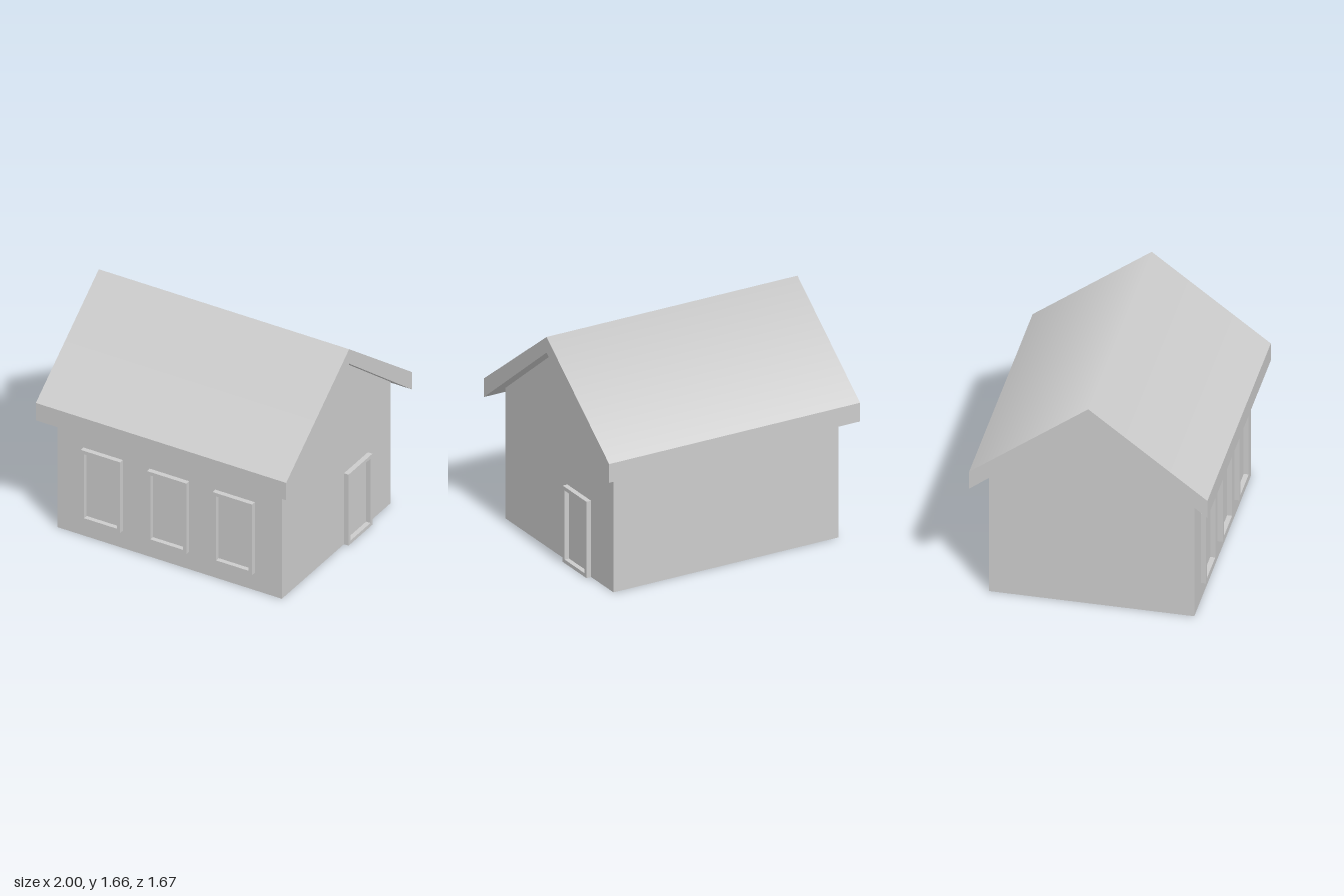
import * as THREE from 'three';

const material = new THREE.MeshStandardMaterial({ color: 0xcccccc });

// Extrudes a (z, y) outline along x, centred on x = 0
function extrudeAlongX(points, length) {
  const shape = new THREE.Shape(points.map(([z, y]) => new THREE.Vector2(z, y)));
  return new THREE.ExtrudeGeometry(shape, { depth: length, bevelEnabled: false })
    .translate(0, 0, -length / 2)
    .rotateY(Math.PI / 2);
}

function addMesh(parent, name, geometry) {
  const mesh = new THREE.Mesh(geometry, material);
  mesh.name = name;
  parent.add(mesh);
  return mesh;
}

// Raised rectangular frame around a flat panel; its back lies on local z = 0
function framedPanel(name, panelName, width, height, border, depth) {
  const group = new THREE.Group();
  group.name = name;
  const rect = (target, w, h) => {
    target.moveTo(-w / 2, -h / 2);
    target.lineTo(w / 2, -h / 2);
    target.lineTo(w / 2, h / 2);
    target.lineTo(-w / 2, h / 2);
    target.closePath();
    return target;
  };
  const innerW = width - 2 * border;
  const innerH = height - 2 * border;
  const shape = rect(new THREE.Shape(), width, height);
  shape.holes.push(rect(new THREE.Path(), innerW, innerH));
  addMesh(group, name + 'Frame', new THREE.ExtrudeGeometry(shape, { depth, bevelEnabled: false }));
  addMesh(group, panelName, new THREE.BoxGeometry(innerW, innerH, 0.004));
  return group;
}

export function createModel() {
  const house = new THREE.Group();
  house.name = 'house';

  // Walls with gabled ends
  addMesh(house, 'walls', extrudeAlongX(
    [[-0.72, 0], [0.72, 0], [0.72, 0.98], [0, 1.545], [-0.72, 0.98]], 1.792));

  // Thick overhanging roof, shaded smoothly over the ridge
  const roof = extrudeAlongX(
    [[-0.835, 0.89], [0, 1.545], [0.835, 0.89], [0.835, 1.03], [0, 1.662], [-0.835, 1.03]], 2);
  const { position, normal } = roof.attributes;
  for (let i = 0; i < position.count; i++) {
    if (position.getY(i) > 1.65 && Math.abs(normal.getX(i)) < 0.5) normal.setXYZ(i, 0, 1, 0);
  }
  addMesh(house, 'roof', roof);

  // Three front windows
  for (const x of [-0.531, -0.002, 0.523]) {
    const frame = framedPanel('window', 'windowPane', 0.315, 0.57, 0.027, 0.037);
    frame.position.set(x, 0.425, 0.72);
    house.add(frame);
  }

  // Door on the left gable wall
  const door = framedPanel('door', 'doorPanel', 0.318, 0.572, 0.027, 0.037);
  door.rotation.y = Math.PI / 2;
  door.position.set(0.896, 0.286, -0.262);
  house.add(door);

  return house;
}
